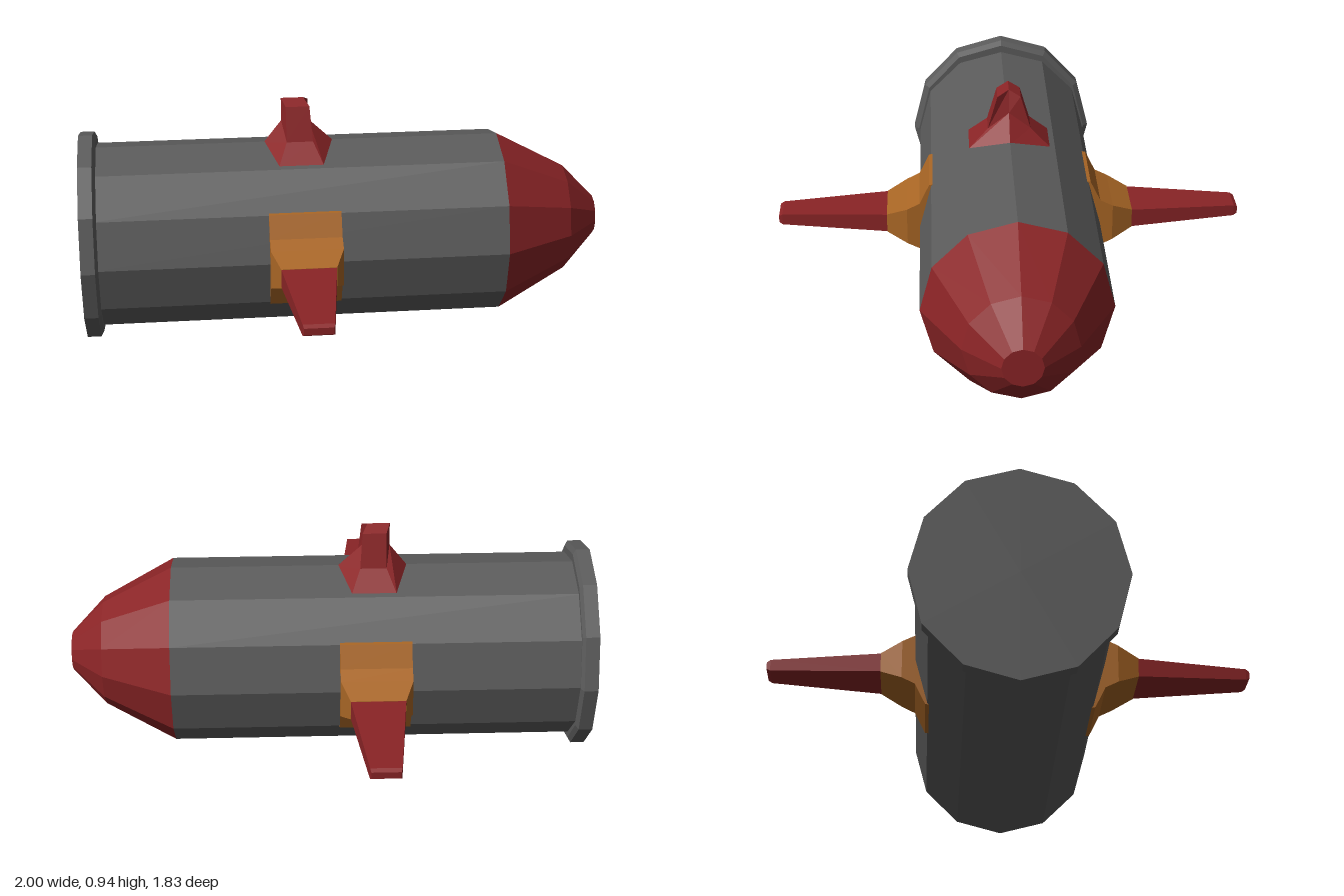
import * as THREE from 'three';

const mat = (name, color) => {
  const m = new THREE.MeshStandardMaterial({ color, flatShading: true });
  m.name = name;
  return m;
};

// Skin a list of cross-sections (equal point counts, counter-clockwise), with end caps
function loft(sections) {
  const pos = [];
  const tri = (...pts) => pts.forEach(p => pos.push(...p));
  for (let s = 0; s < sections.length - 1; s++) {
    const a = sections[s], b = sections[s + 1], n = a.length;
    for (let i = 0; i < n; i++) {
      const j = (i + 1) % n;
      tri(a[i], a[j], b[j]);
      tri(a[i], b[j], b[i]);
    }
  }
  const first = sections[0], last = sections[sections.length - 1];
  for (let i = 1; i < first.length - 1; i++) {
    tri(first[0], first[i + 1], first[i]);
    tri(last[0], last[i], last[i + 1]);
  }
  const g = new THREE.BufferGeometry();
  g.setAttribute('position', new THREE.Float32BufferAttribute(pos, 3));
  g.computeVertexNormals();
  return g;
}

// Rectangle across a side fin, at distance z from the axis
const rect = (z, x0, x1, h) => [[x0, -h, z], [x1, -h, z], [x1, h, z], [x0, h, z]];

// Six-sided ridge section for the top fin: ridge ends at z = 0, lower corners at +-z
const ridge = (x0, x1, y, cx0, cx1, cy, z) => [
  [x0, y, 0], [cx0, cy, z], [cx1, cy, z], [x1, y, 0], [cx1, cy, -z], [cx0, cy, -z],
];

export function createModel() {
  const grey = mat('grey metal', 0x5c5c5c);
  const red = mat('dark red', 0x8a2426);
  const orange = mat('orange', 0xa96625);
  const model = new THREE.Group();
  const axisY = 0.405;

  const add = (name, geo, material, parent) => {
    const m = new THREE.Mesh(geo, material);
    m.name = name;
    parent.add(m);
    return m;
  };

  // Twelve-sided turned parts, profile given as [radius, x]
  const turned = (name, profile, material) => {
    const geo = new THREE.LatheGeometry(profile.map(p => new THREE.Vector2(...p)), 12);
    const m = add(name, geo, material, model);
    m.rotation.z = -Math.PI / 2;
    m.position.y = axisY;
    return m;
  };
  turned('body', [[0.355, -0.96], [0.355, 0.605]], grey);
  turned('nose', [[0.355, 0.605], [0.21, 0.873], [0.075, 1], [0, 1]], red);

  // Rear rim, slightly taller than wide
  const rim = turned('rearRim', [[0, -1], [1, -1], [1, -0.947], [0.95, -0.936], [0.85, -0.936]], grey);
  rim.scale.set(0.405, 1, 0.38);

  // Side fins on flared mounts
  ['leftFin', 'rightFin'].forEach((name, i) => {
    const fin = new THREE.Group();
    fin.name = name;
    fin.position.y = axisY;
    fin.rotation.x = i * Math.PI;
    add('finMount', loft([
      rect(0.29, -0.3, -0.03, 0.185),
      rect(0.315, -0.3, -0.03, 0.182),
      rect(0.355, -0.3, -0.03, 0.1),
      rect(0.405, -0.3, -0.03, 0.075),
      rect(0.485, -0.268, -0.063, 0.038),
    ]), orange, fin);
    add('finBlade', loft([
      rect(0.48, -0.268, -0.063, 0.037),
      rect(0.9, -0.224, -0.111, 0.022),
      rect(0.914, -0.22, -0.115, 0.013),
    ]), red, fin);
    model.add(fin);
  });

  // Short ridged top fin with a flared foot
  add('topFin', loft([
    ridge(-0.3, -0.03, 0.755, -0.25, -0.08, 0.715, 0.16),
    ridge(-0.23, -0.125, 0.845, -0.215, -0.115, 0.785, 0.083),
    ridge(-0.23, -0.145, 0.935, -0.215, -0.125, 0.913, 0.045),
  ]), red, model);

  return model;
}
